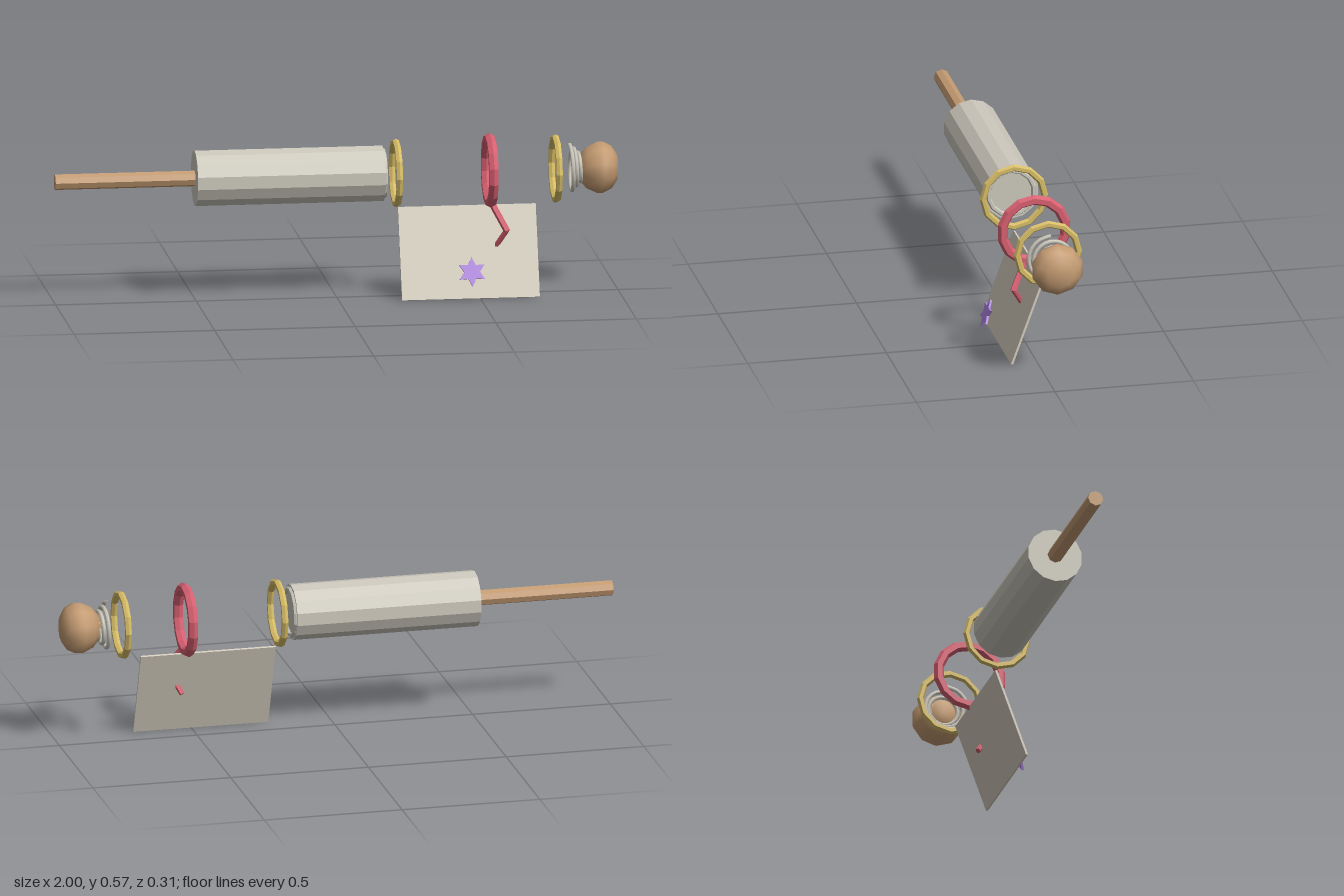
import * as THREE from 'three';
import { toCreasedNormals } from 'three/addons/utils/BufferGeometryUtils.js';

const AXIS_Y = 0.438, AXIS_Z = -0.022;

function material(name, color) {
  const m = new THREE.MeshStandardMaterial({ color });
  m.name = name;
  return m;
}

// Faceted copy of a geometry
function flat(geometry) {
  const g = geometry.index ? geometry.toNonIndexed() : geometry;
  g.computeVertexNormals();
  return g;
}

export function createModel() {
  const model = new THREE.Group();
  const wood = material('wood', 0xc49b72);
  const metal = material('metal', 0xcbc7bb);
  const gold = material('gold', 0xd6bc66);
  const red = material('red', 0xd75f70);
  const paper = material('paper', 0xd3ccbd);
  const purple = material('purple', 0xae85e0);

  const add = (name, geometry, mat, x, y, z) => {
    const mesh = new THREE.Mesh(geometry, mat);
    mesh.name = name;
    mesh.position.set(x, y, z);
    model.add(mesh);
    return mesh;
  };
  const onAxis = (name, geometry, mat, x) => add(name, geometry, mat, x, AXIS_Y, AXIS_Z);

  // Cylinder lying along x
  const bar = (name, x0, x1, radius, sides, mat) => {
    const g = new THREE.CylinderGeometry(radius, radius, x1 - x0, sides);
    g.rotateY(Math.PI / 2).rotateZ(-Math.PI / 2);
    onAxis(name, flat(g), mat, (x0 + x1) / 2);
  };
  // Ring around the x axis
  const ring = (name, x, radius, tube, sides, mat) => {
    const g = new THREE.TorusGeometry(radius, tube, 6, sides);
    g.rotateZ(Math.PI / 2).rotateY(Math.PI / 2);
    onAxis(name, flat(g), mat, x);
  };

  // Rod and barrel
  bar('rod', -1, -0.5, 0.028, 8, wood);
  bar('barrel', -0.503, 0.165, 0.1, 14, metal);
  ring('barrelLip', 0.166, 0.083, 0.009, 14, metal);

  // Loose rings
  ring('innerRing', 0.213, 0.111, 0.0125, 12, gold);
  ring('outerRing', 0.781, 0.111, 0.0125, 12, gold);
  ring('clampRing', 0.547, 0.115, 0.0185, 14, red);

  // Bent arm below the clamp ring
  const points = [[0.545, 0.335, 0.007], [0.596, 0.238, 0.062], [0.553, 0.156, 0.013]]
    .map((p) => new THREE.Vector3(...p));
  [[0, 1, 0.0115], [1, 2, 0.0095]].forEach(([a, b, radius], i) => {
    const dir = points[b].clone().sub(points[a]);
    const mid = points[a].clone().add(points[b]).multiplyScalar(0.5);
    const g = flat(new THREE.CylinderGeometry(radius, radius, dir.length() + 0.008, 6));
    const arm = add(i ? 'lowerArm' : 'upperArm', g, red, mid.x, mid.y, mid.z);
    arm.quaternion.setFromUnitVectors(new THREE.Vector3(0, 1, 0), dir.normalize());
  });

  // Conical spring narrowing towards the knob
  const turns = 3, steps = 36, coil = [];
  for (let i = 0; i <= steps; i++) {
    const t = i / steps, a = t * turns * Math.PI * 2, r = 0.085 - 0.045 * t;
    coil.push(new THREE.Vector3(0.045 * t, r * Math.cos(a), r * Math.sin(a)));
  }
  const spring = new THREE.TubeGeometry(new THREE.CatmullRomCurve3(coil), 60, 0.0075, 6);
  onAxis('spring', spring, metal, 0.831);

  // Rounded end knob
  const profile = [[0, 0.863], [0.042, 0.863], [0.075, 0.892], [0.093, 0.93],
    [0.093, 0.948], [0.078, 0.978], [0.048, 0.998], [0, 1]]
    .map(([r, x]) => new THREE.Vector2(r, x));
  const knob = new THREE.LatheGeometry(profile, 10, Math.PI / 2);
  knob.rotateZ(-Math.PI / 2);
  onAxis('knob', toCreasedNormals(knob, 0.8), wood, 0);

  // Tilted panel with a star floating in front of it
  const tilt = -0.349;
  const panel = add('panel', new THREE.BoxGeometry(0.49, 0.333, 0.008), paper, 0.465, 0.158, 0.035);
  panel.rotation.x = tilt;

  const shape = new THREE.Shape();
  for (let i = 0; i < 12; i++) {
    const r = i % 2 ? 0.028 : 0.052, a = i * Math.PI / 6;
    shape[i ? 'lineTo' : 'moveTo'](r * Math.sin(a), r * Math.cos(a));
  }
  shape.closePath();
  const starShape = new THREE.ExtrudeGeometry(shape, { depth: 0.008, bevelEnabled: false });
  starShape.translate(0, 0, -0.004);
  const star = add('star', starShape, purple, 0.464, 0.106, 0.132);
  star.rotation.x = tilt;

  return model;
}
